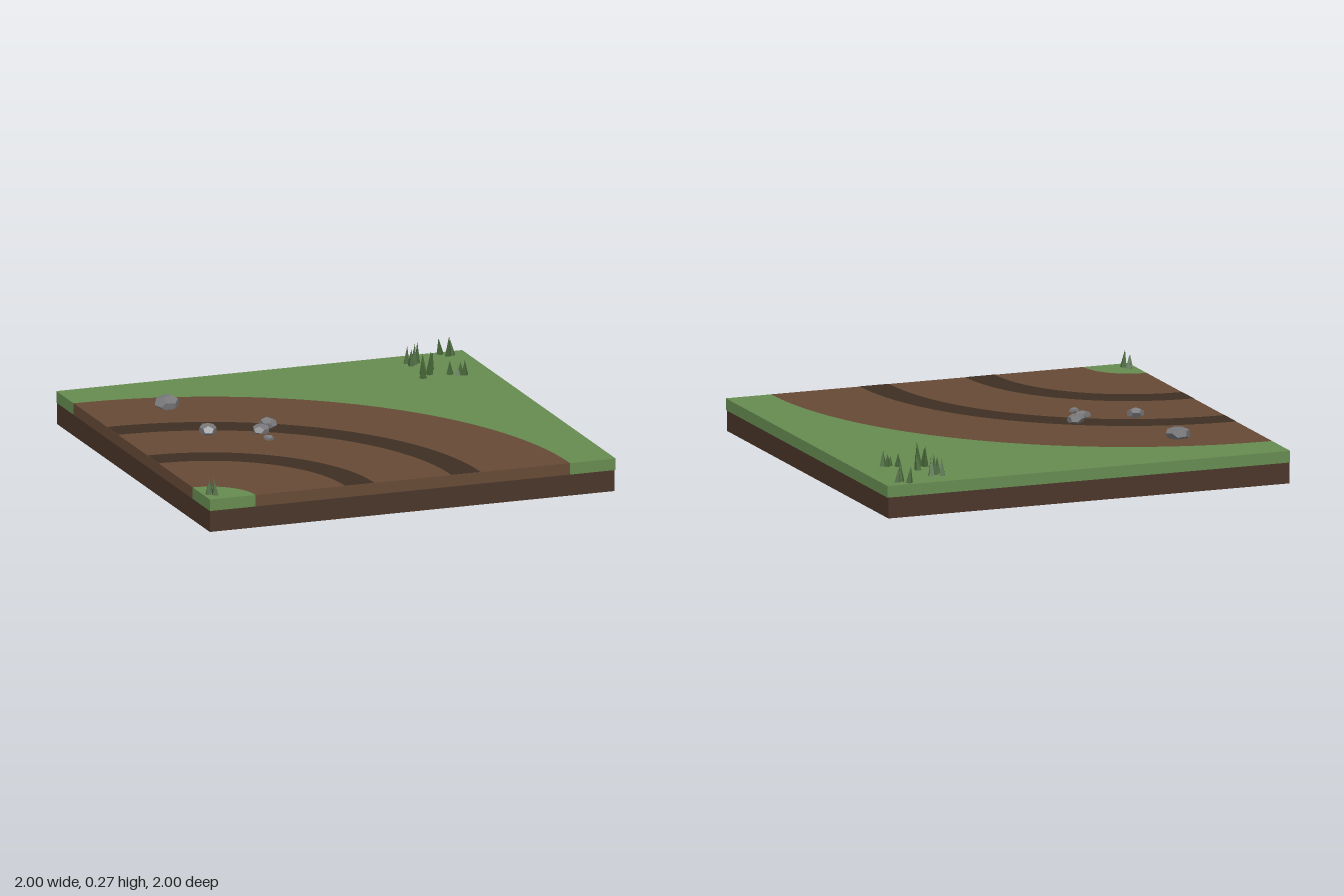
import * as THREE from 'three';

const BASE = 0.1, TOP = 0.155, SEG = 48;
const mat = (color, extra = {}) => new THREE.MeshStandardMaterial({ color, ...extra });

export function createModel() {
  const group = new THREE.Group();
  const grassMat = mat(0x668b50);
  const roadMat = mat(0x664a35);
  const trackMat = mat(0x3e2f23, { side: THREE.DoubleSide });
  const soilMat = mat(0x4a3529);
  const rockMat = mat(0x77777a, { flatShading: true });
  const bladeMat = mat(0x466638, { flatShading: true });

  const add = (name, geometry, material, parent = group) => {
    const mesh = new THREE.Mesh(geometry, material);
    mesh.name = name;
    parent.add(mesh);
    return mesh;
  };

  // Plan shapes are drawn with y = -z; the bend is centred on the front right corner
  const ground = (name, shape, material) => {
    const geo = new THREE.ExtrudeGeometry(shape, { depth: TOP - BASE, bevelEnabled: false, curveSegments: SEG });
    geo.rotateX(-Math.PI / 2);
    add(name, geo, material).position.y = BASE;
  };
  const sector = (inner, outer) => {
    const s = new THREE.Shape();
    s.moveTo(-1 + inner, -1);
    s.lineTo(-1 + outer, -1);
    s.absarc(-1, -1, outer, 0, Math.PI / 2, false);
    s.lineTo(-1, -1 + inner);
    if (inner > 0) s.absarc(-1, -1, inner, Math.PI / 2, 0, true);
    return s;
  };

  // Soil slab
  add('soilBase', new THREE.BoxGeometry(1.993, BASE, 1.993), soilMat).position.set(-0.0035, BASE / 2, 0.0035);

  // Curved dirt road between an inner and an outer lawn
  ground('innerGrass', sector(0, 0.225), grassMat);
  ground('dirtRoad', sector(0.225, 1.775), roadMat);
  const lawn = new THREE.Shape();
  lawn.moveTo(0.775, -1);
  lawn.lineTo(1, -1);
  lawn.lineTo(1, 1);
  lawn.lineTo(-1, 1);
  lawn.lineTo(-1, 0.775);
  lawn.absarc(-1, -1, 1.775, Math.PI / 2, 0, true);
  ground('outerGrass', lawn, grassMat);

  // Wheel tracks
  for (const [inner, outer] of [[0.665, 0.81], [1.19, 1.335]]) {
    const geo = new THREE.RingGeometry(inner, outer, SEG, 1, 0, Math.PI / 2).rotateX(-Math.PI / 2);
    add('wheelTrack', geo, trackMat).position.set(-1, TOP + 0.001, 1);
  }

  // Rocks: x, z, radius, height, turn
  const rocks = new THREE.Group();
  rocks.name = 'rocks';
  group.add(rocks);
  for (const [x, z, r, h, turn] of [
    [-0.62, -0.56, 0.063, 0.055, 0.4], [-0.605, -0.07, 0.045, 0.045, 1.3],
    [-0.305, -0.08, 0.044, 0.043, 2.2], [-0.37, 0, 0.044, 0.036, 0.9], [-0.38, 0.13, 0.026, 0.022, 2.9],
  ]) {
    const rock = add('rock', new THREE.DodecahedronGeometry(1, 0), rockMat, rocks);
    rock.scale.set(r, h * 0.62, r * 0.95);
    rock.rotation.set(0.12, turn, 0.1);
    rock.position.set(x, TOP + h * 0.42, z);
  }

  // Grass blades: x, z, height
  const blades = new THREE.Group();
  blades.name = 'grassBlades';
  group.add(blades);
  [
    [0.88, -0.97, 0.08], [0.905, -0.93, 0.1], [0.925, -0.935, 0.075],
    [0.68, -0.88, 0.085], [0.73, -0.87, 0.105], [0.705, -0.85, 0.1], [0.685, -0.83, 0.08],
    [0.743, -0.735, 0.09], [0.685, -0.675, 0.1], [0.71, -0.66, 0.115], [0.66, -0.61, 0.075],
    [0.8, -0.63, 0.065], [0.845, -0.61, 0.06], [0.86, -0.595, 0.075], [0.83, -0.6, 0.05],
    [-0.957, 0.89, 0.07], [-0.973, 0.91, 0.06], [-0.947, 0.93, 0.085],
  ].forEach(([x, z, h], i) => {
    const geo = new THREE.ConeGeometry(0.018, h, 4).translate(0, h / 2, 0);
    const blade = add('grassBlade', geo, bladeMat, blades);
    blade.position.set(x, TOP - 0.002, z);
    blade.rotation.set(0.1 * Math.sin(i * 2.1), i * 1.7, 0.1 * Math.cos(i * 1.3));
  });

  return group;
}
